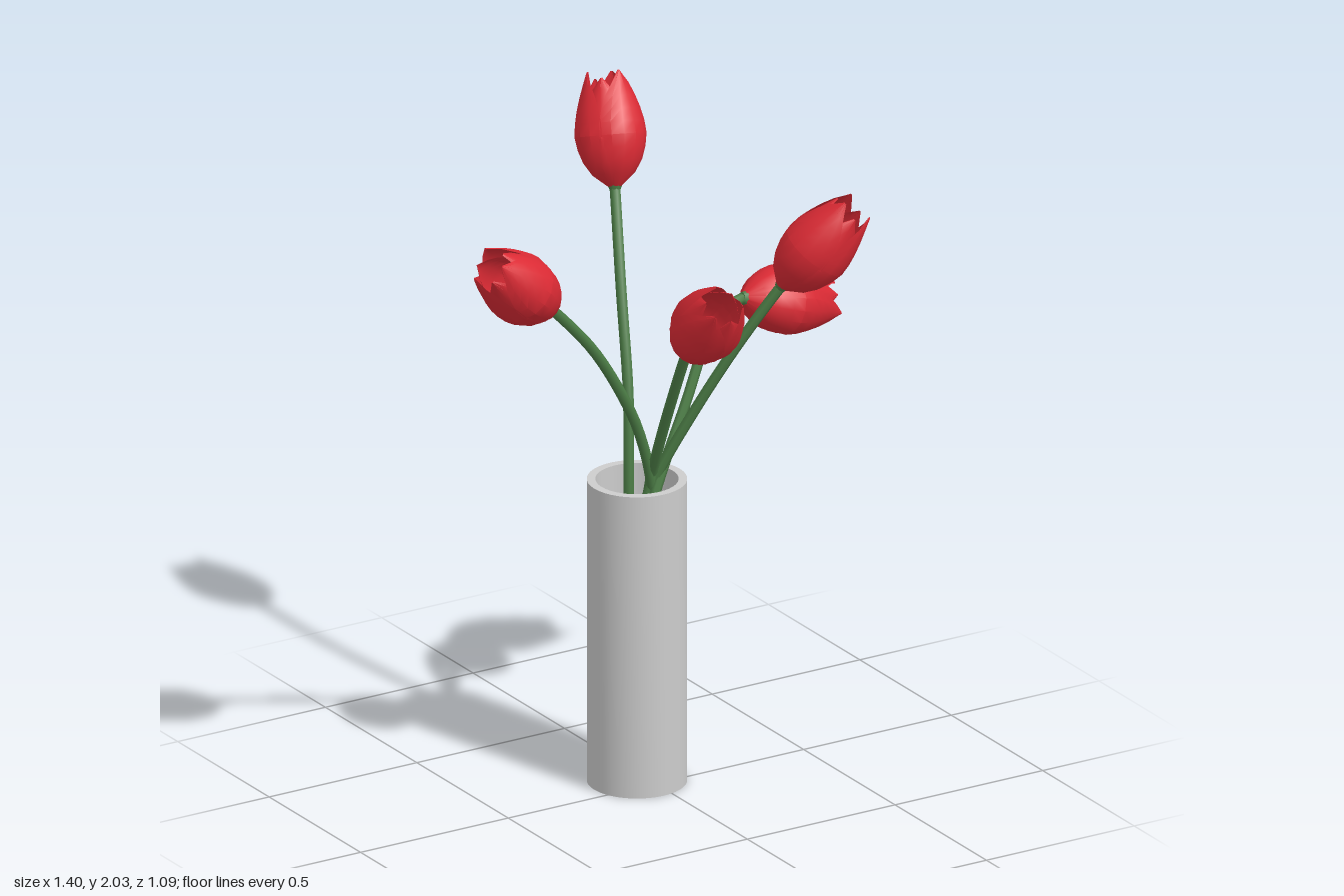
import * as THREE from 'three';
import { toCreasedNormals } from 'three/addons/utils/BufferGeometryUtils.js';

const V = (a) => new THREE.Vector3(...a);

// Linear interpolation through [t, value] pairs
function sample(keys, t) {
  for (let i = 1; i < keys.length; i++) {
    const [t0, a] = keys[i - 1], [t1, b] = keys[i];
    if (t <= t1) return a + (b - a) * (t - t0) / (t1 - t0);
  }
  return keys[keys.length - 1][1];
}

// Bud radius and petal half-angle from base (0) to tip (1)
const RADIUS = [[0, 0.018], [0.1, 0.06], [0.25, 0.092], [0.42, 0.106], [0.6, 0.1], [0.78, 0.082], [1, 0.056]];
const SPREAD = [[0, 1.08], [0.6, 1.08], [0.78, 0.85], [0.9, 0.5], [1, 0.06]];

// One cupped, pointed petal wrapped around the y axis
function petalGeometry(length, scale) {
  const cols = 6, rows = 9;
  const geo = new THREE.PlaneGeometry(1, 1, cols, rows);
  const pos = geo.attributes.position;
  for (let i = 0; i < pos.count; i++) {
    const u = pos.getX(i) * 2, t = pos.getY(i) + 0.5;
    const a = u * sample(SPREAD, t);
    // the midrib bulges a little, the edges tuck in
    const r = sample(RADIUS, t) * scale * (1.02 - 0.08 * u * u);
    pos.setXYZ(i, Math.sin(a) * r, t * length, Math.cos(a) * r);
  }
  return toCreasedNormals(geo, 0.45);
}

// Stem points run from inside the vase to the bud; axis is the bud direction
const TULIPS = [
  { name: 'leftTulip', axis: [-0.24, 0.2, 0.06], spin: 0.4,
    stem: [[0.03, 0.65, -0.05], [-0.01, 0.94, -0.01], [-0.06, 1.1, 0.01], [-0.125, 1.23, 0.03], [-0.25, 1.42, 0.06], [-0.42, 1.6, 0.1]] },
  { name: 'frontTulip', axis: [-0.03, 0.22, 0.24], spin: 1.1,
    stem: [[0.02, 0.65, -0.13], [-0.005, 0.94, -0.02], [-0.02, 1.05, 0.04], [-0.04, 1.25, 0.15], [-0.055, 1.46, 0.27]] },
  { name: 'backTulip', axis: [0.045, 0.29, -0.12], spin: 0.2,
    stem: [[-0.01, 0.6, -0.135], [0, 0.94, -0.148], [0.018, 1.15, -0.18], [0.05, 1.43, -0.27], [0.1, 1.7, -0.385]] },
  { name: 'rightFrontTulip', axis: [0.17, 0.25, 0.12], spin: 0.8,
    stem: [[-0.08, 0.7, -0.06], [0, 0.94, -0.01], [0.09, 1.15, 0.055], [0.19, 1.36, 0.13], [0.3, 1.55, 0.2]] },
  { name: 'rightTulip', axis: [0.32, -0.09, -0.035], spin: 0.5,
    stem: [[-0.09, 0.7, 0.03], [0.01, 0.94, 0], [0.12, 1.15, -0.03], [0.2, 1.3, -0.058], [0.27, 1.385, -0.074], [0.35, 1.405, -0.085]] },
];

export function createModel() {
  const model = new THREE.Group();
  model.name = 'tulipVase';
  const grey = new THREE.MeshStandardMaterial({ color: 0xcccccc });
  grey.name = 'vaseGrey';
  const green = new THREE.MeshStandardMaterial({ color: 0x4c7d46 });
  green.name = 'stemGreen';
  const red = new THREE.MeshStandardMaterial({ color: 0xdb2a34, side: THREE.DoubleSide });
  red.name = 'petalRed';

  const add = (parent, geo, mat, name) => {
    const mesh = new THREE.Mesh(geo, mat);
    mesh.name = name;
    parent.add(mesh);
    return mesh;
  };

  // Hollow straight vase with a thick wall
  const wall = [[0, 0], [0.145, 0], [0.145, 0.935], [0.12, 0.935], [0.12, 0.03], [0, 0.03]]
    .map(([x, y]) => new THREE.Vector2(x, y));
  const vase = add(model, toCreasedNormals(new THREE.LatheGeometry(wall, 40), 0.6), grey, 'vase');
  vase.position.set(-0.03, 0, -0.055);

  const outer = petalGeometry(0.335, 1);
  const inner = petalGeometry(0.315, 0.92);
  const up = new THREE.Vector3(0, 1, 0);

  for (const t of TULIPS) {
    const tulip = new THREE.Group();
    tulip.name = t.name;
    model.add(tulip);

    // Stem, ending just inside the bud
    const axis = V(t.axis).normalize();
    const base = V(t.stem[t.stem.length - 1]);
    const points = [...t.stem.map(V), base.clone().addScaledVector(axis, 0.03)];
    const curve = new THREE.CatmullRomCurve3(points);
    add(tulip, new THREE.TubeGeometry(curve, 22, 0.016, 7), green, 'stem');

    // Bud: three outer petals around three inner ones
    const bud = new THREE.Group();
    bud.name = 'bud';
    bud.position.copy(base);
    bud.quaternion.setFromUnitVectors(up, axis);
    tulip.add(bud);
    const cup = add(bud, new THREE.CylinderGeometry(0.027, 0.016, 0.022, 8), green, 'receptacle');
    cup.position.y = 0.003;
    for (let i = 0; i < 6; i++) {
      const isOuter = i % 2 === 0;
      const petal = add(bud, isOuter ? outer : inner, red, isOuter ? 'outerPetal' : 'innerPetal');
      petal.rotation.y = t.spin + i * Math.PI / 3;
    }
  }
  return model;
}
